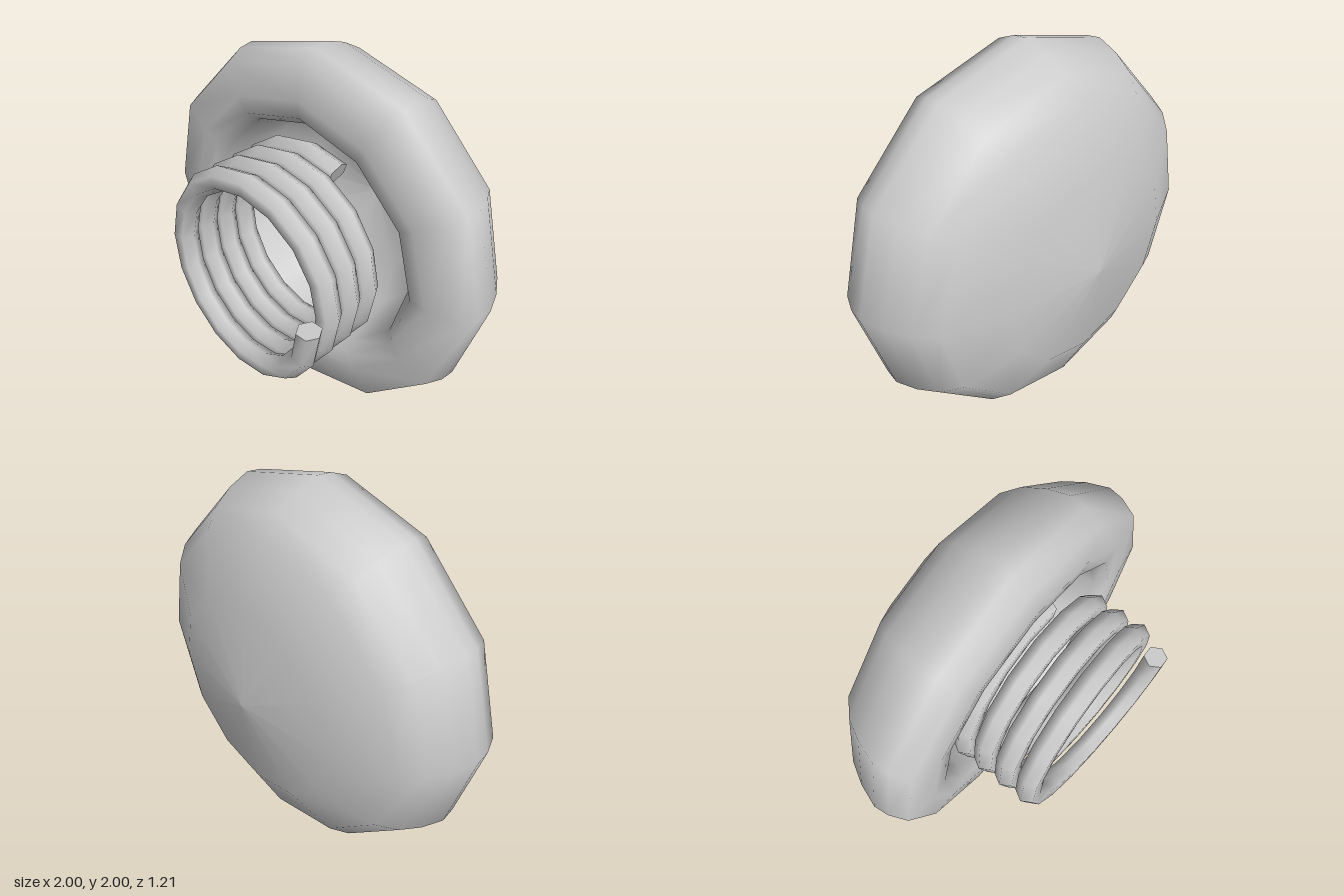
import * as THREE from 'three';

const grey = () => new THREE.MeshStandardMaterial({ color: 0xcccccc, side: THREE.DoubleSide });

// Twelve-sided domed cap: back apex, round rim, then the hollow inside
function makeCap() {
  const profile = [
    [0, -0.61], [0.52, -0.55], [0.81, -0.42], [0.9, -0.33], [0.96, -0.22], [1, -0.1],
    [0.99, -0.02], [0.95, 0.075], [0.78, 0.1], [0.69, 0.09], [0.64, 0.03], [0.62, -0.1],
    [0.58, -0.3], [0.42, -0.46], [0, -0.55],
  ].map(([r, z]) => new THREE.Vector2(r, z));
  const geometry = new THREE.LatheGeometry(profile, 12);
  geometry.rotateX(Math.PI / 2);
  const cap = new THREE.Mesh(geometry, grey());
  cap.name = 'domedCap';
  return cap;
}

// Slightly tilted coil with a six-sided wire and flat ends
function makeSpring() {
  const steps = 61, sides = 6, step = Math.PI / 8;
  const coilRadius = 0.482, wireRadius = 0.062, pitch = 0.13;
  const startAngle = 3 * step, startZ = 0.029;
  const positions = [], indices = [];

  const centre = (i) => {
    const t = startAngle + i * step;
    const z = startZ + pitch * i / 16 + 0.018 * Math.cos(t) - 0.0125 * Math.sin(t);
    return [coilRadius * Math.cos(t), coilRadius * Math.sin(t), z];
  };
  const addRing = (i) => {
    const t = startAngle + i * step, [x, y, z] = centre(i);
    for (let j = 0; j < sides; j++) {
      const a = (j / sides) * Math.PI * 2, out = wireRadius * Math.cos(a);
      positions.push(x + out * Math.cos(t), y + out * Math.sin(t), z + wireRadius * Math.sin(a));
    }
  };

  // wire surface
  for (let i = 0; i <= steps; i++) addRing(i);
  for (let i = 0; i < steps; i++) {
    for (let j = 0; j < sides; j++) {
      const a = i * sides + j, b = i * sides + (j + 1) % sides;
      indices.push(a, a + sides, b, b, a + sides, b + sides);
    }
  }
  // end caps with their own corners, so that their edges stay sharp
  for (const i of [0, steps]) {
    const base = positions.length / 3;
    addRing(i);
    positions.push(...centre(i));
    for (let j = 0; j < sides; j++) {
      const a = base + j, b = base + (j + 1) % sides;
      indices.push(base + sides, ...(i === 0 ? [a, b] : [b, a]));
    }
  }

  const geometry = new THREE.BufferGeometry();
  geometry.setAttribute('position', new THREE.Float32BufferAttribute(positions, 3));
  geometry.setIndex(indices);
  geometry.computeVertexNormals();
  const spring = new THREE.Mesh(geometry, grey());
  spring.name = 'coilSpring';
  return spring;
}

export function createModel() {
  const model = new THREE.Group();
  model.name = 'springButton';
  for (const part of [makeCap(), makeSpring()]) {
    part.position.y = 1;
    model.add(part);
  }
  return model;
}
